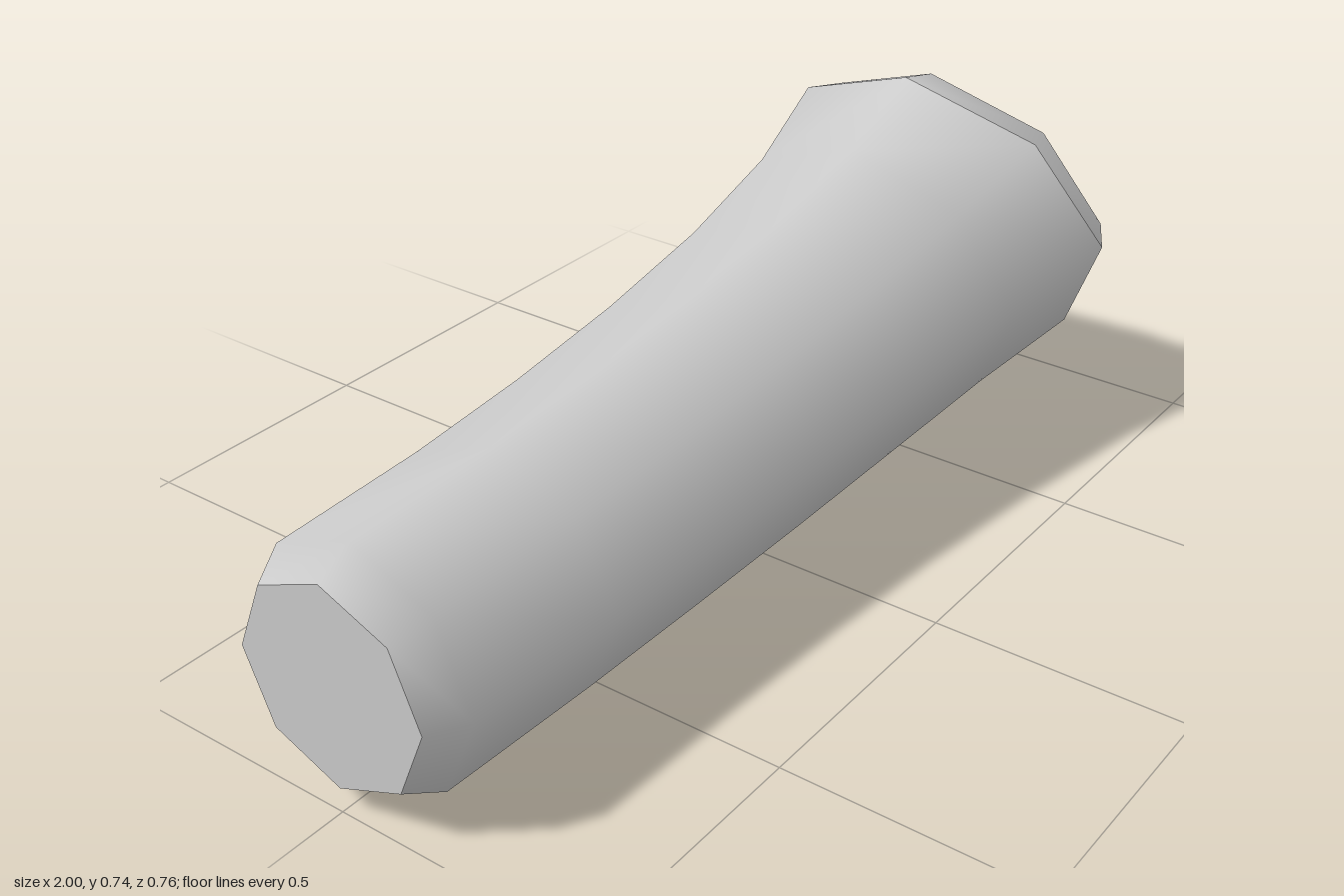
import * as THREE from 'three';

const SIDES = 8;

// Ring: [topX, topY, bottomX, bottomY, halfWidth, bulge], slanted octagon around the x axis
function ringPoints([tx, ty, bx, by, w, bulge = 0]) {
  const pts = [];
  for (let j = 0; j < SIDES; j++) {
    const a = (j / SIDES) * Math.PI * 2;
    const s = Math.sin(a), c = Math.cos(a);
    pts.push([
      (tx + bx) / 2 + ((tx - bx) / 2) * s + bulge * c * c,
      (ty + by) / 2 + ((ty - by) / 2) * s,
      w * c,
    ]);
  }
  return pts;
}

function makeMesh(name, points, index) {
  const geo = new THREE.BufferGeometry();
  geo.setAttribute('position', new THREE.Float32BufferAttribute(points.flat(), 3));
  geo.setIndex(index);
  geo.computeVertexNormals();
  const mesh = new THREE.Mesh(geo, new THREE.MeshStandardMaterial({ color: 0xcccccc }));
  mesh.name = name;
  return mesh;
}

// Smooth skin through a list of rings
function loft(name, rings) {
  const index = [];
  for (let i = 0; i < rings.length - 1; i++) {
    for (let j = 0; j < SIDES; j++) {
      const k = (j + 1) % SIDES;
      const a = i * SIDES + j, b = i * SIDES + k;
      index.push(a, a + SIDES, b, b, a + SIDES, b + SIDES);
    }
  }
  return makeMesh(name, rings.flatMap(ringPoints), index);
}

// Closing face over one ring
function cap(name, ring, facesForward) {
  const pts = ringPoints(ring);
  const [tx, ty, bx, by, , bulge = 0] = ring;
  pts.push([(tx + bx) / 2 + bulge, (ty + by) / 2, 0]);
  const index = [];
  for (let j = 0; j < SIDES; j++) {
    const k = (j + 1) % SIDES;
    index.push(SIDES, ...(facesForward ? [k, j] : [j, k]));
  }
  return makeMesh(name, pts, index);
}

export function createModel() {
  const group = new THREE.Group();
  group.name = 'flaredHandle';

  const tail = [-1, 0.44, -1, 0.05, 0.195];
  const rim = [0.65, 0.742, 0.94, 0.075, 0.38, 0.025];
  const mouth = [0.785, 0.65, 0.98, 0.195, 0.26, 0.015];
  const floor = [0.745, 0.62, 0.935, 0.208, 0.235, 0.015];

  // Curved, widening body with a chamfered tail
  group.add(loft('body', [
    tail,
    [-0.93, 0.48, -0.93, 0.01, 0.236],
    [-0.61, 0.49, -0.58, 0.002, 0.245],
    [-0.35, 0.51, -0.28, 0.004, 0.256],
    [-0.08, 0.542, 0.02, 0.011, 0.271],
    [0.2, 0.587, 0.32, 0.028, 0.294],
    [0.45, 0.652, 0.64, 0.052, 0.327, 0.01],
    rim,
  ]));
  group.add(cap('tailCap', tail, false));

  // Rounded lip from the rim to the mouth
  group.add(loft('lip', [rim, [0.75, 0.72, 1, 0.13, 0.34, 0.015], mouth]));

  // Shallow recess
  group.add(loft('recessWall', [mouth, floor]));
  group.add(cap('recessFloor', floor, true));

  return group;
}
